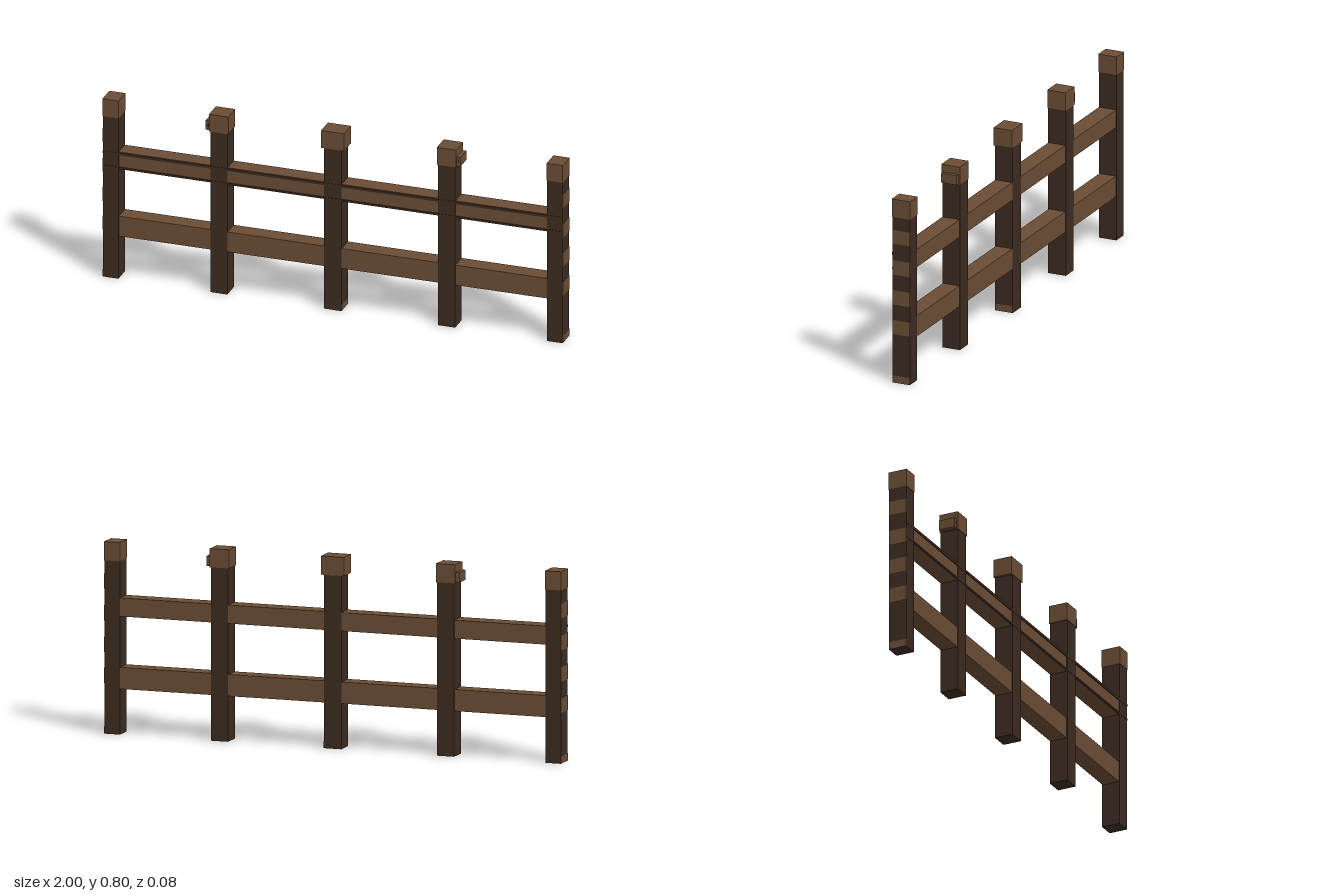
import * as THREE from 'three';

export function createModel() {
  const fence = new THREE.Group();
  fence.name = 'fence';
  const lightWood = new THREE.MeshStandardMaterial({ color: 0x6a4c34 });
  lightWood.name = 'lightWood';
  const darkWood = new THREE.MeshStandardMaterial({ color: 0x3b2b1f });
  darkWood.name = 'darkWood';

  // Box given by its limits on each axis
  function box(name, material, [x0, x1], [y0, y1], [z0, z1], parent = fence) {
    const mesh = new THREE.Mesh(new THREE.BoxGeometry(x1 - x0, y1 - y0, z1 - z0), material);
    mesh.position.set((x0 + x1) / 2, (y0 + y1) / 2, (z0 + z1) / 2);
    mesh.name = name;
    parent.add(mesh);
    return mesh;
  }

  // Posts with caps: centre, half width, cap half width
  const posts = [
    [-0.965, 0.034, 0.035],
    [-0.495, 0.037, 0.042],
    [0, 0.038, 0.05],
    [0.495, 0.037, 0.042],
    [0.965, 0.034, 0.035],
  ];
  const capY = 0.722;
  posts.forEach(([x, half, capHalf]) => {
    const post = new THREE.Group();
    post.name = 'post';
    fence.add(post);
    box('postShaft', darkWood, [x - half, x + half], [0, capY], [-0.04, 0.04], post);
    box('postCap', lightWood, [x - capHalf, x + capHalf], [capY, 0.8], [-0.042, 0.042], post);
  });

  // Light patch at the foot of the middle post
  box('footPatch', lightWood, [0.036, 0.039], [0.001, 0.03], [-0.039, 0.039]);

  // Rails run between the end posts, a little inside the post faces
  box('lowerRail', lightWood, [-0.94, 0.94], [0.19, 0.28], [-0.038, 0.037]);
  box('upperRail', lightWood, [-0.94, 0.94], [0.492, 0.569], [-0.038, 0.037]);

  // Dark edge strips along the front of the upper rail
  box('upperRailTopStrip', darkWood, [-0.999, 0.999], [0.556, 0.567], [0.034, 0.0415]);
  box('upperRailBottomStrip', darkWood, [-0.999, 0.999], [0.494, 0.502], [0.034, 0.0415]);

  for (const side of [-1, 1]) {
    // Pegs on the outer sides of the intermediate caps
    const peg = box('capPeg', lightWood, [0.53, 0.554], [0.726, 0.767], [-0.036, 0.036]);
    peg.position.x *= side;
    const end = box('pegEnd', darkWood, [0.54, 0.548], [0.74, 0.755], [0.033, 0.037]);
    end.position.x *= side;

    // Light bands on the outer faces of the end posts
    for (const [y0, y1] of [[0.001, 0.032], [0.211, 0.274], [0.34, 0.404], [0.471, 0.535], [0.605, 0.666]]) {
      const band = box('endPostBand', lightWood, [0.997, 1], [y0, y1], [-0.0395, 0.0395]);
      band.position.x *= side;
    }
  }
  return fence;
}
